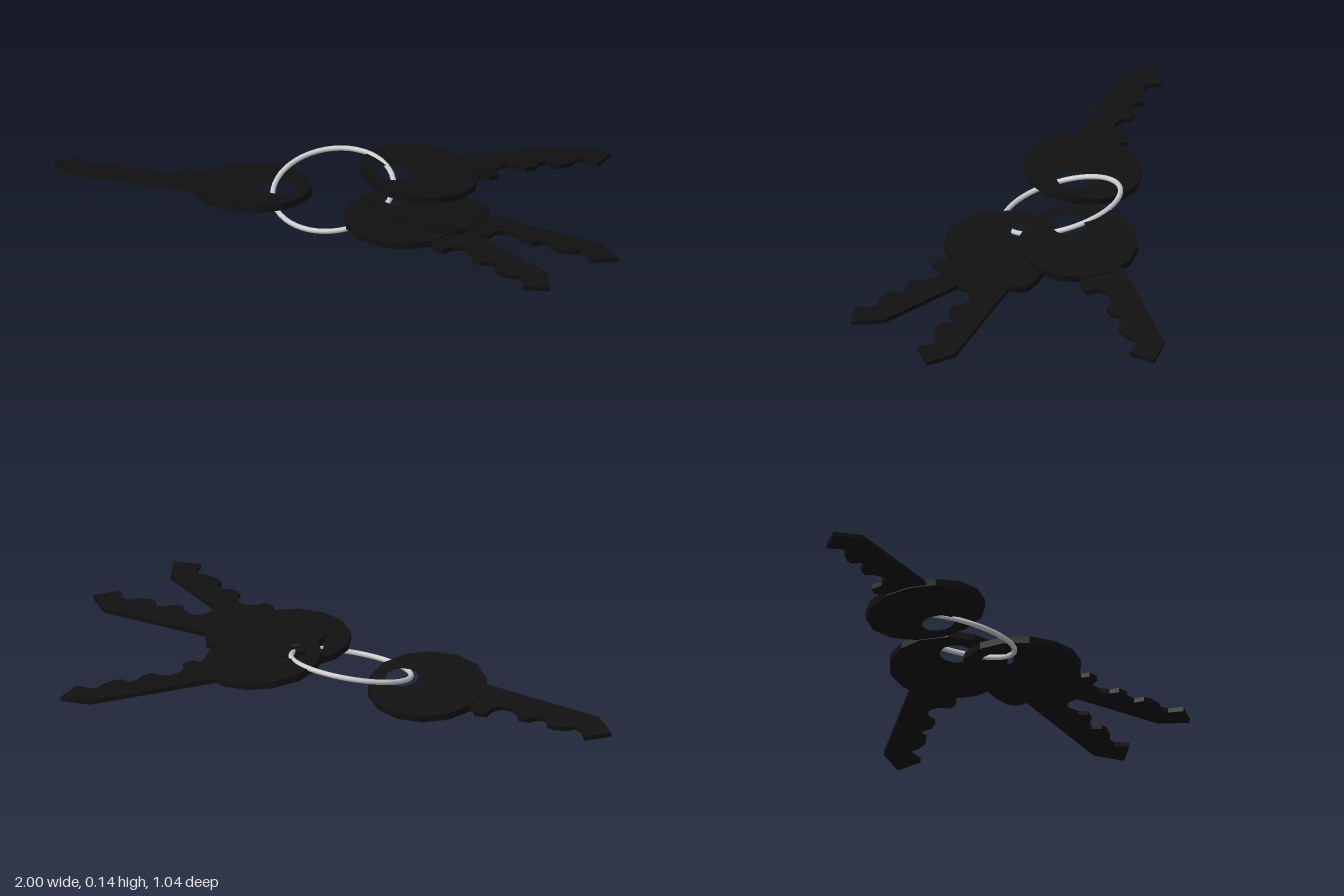
import * as THREE from 'three';

const black = new THREE.MeshStandardMaterial({ color: 0x111111, flatShading: true });
const steel = new THREE.MeshStandardMaterial({ color: 0xcccccc });

// Key frame: x runs along the blade, second value is the side the teeth are on
const bladeOutline = [
  [0.13, -0.095], [0.607, -0.095], [0.693, -0.03], [0.625, 0.034], [0.59, -0.005],
  [0.565, -0.01], [0.54, 0.012], [0.5, 0.025], [0.475, 0.022], [0.455, -0.008],
  [0.425, 0], [0.405, 0.024], [0.37, 0.03], [0.35, 0.005], [0.32, -0.008],
  [0.29, -0.005], [0.265, 0.022], [0.262, 0.062], [0.225, 0.072], [0.205, 0.05], [0.13, 0.07],
];
const roundHead = Array.from({ length: 14 }, (_, i) => {
  const a = ((i + 0.5) / 14) * Math.PI * 2;
  return [0.2 * Math.cos(a), 0.2 * Math.sin(a)];
});
const squareHead = [
  [-0.19, -0.06], [-0.15, -0.12], [-0.07, -0.155], [0.1, -0.16], [0.16, -0.15], [0.183, -0.12],
  [0.183, 0.05], [0.155, 0.09], [0.05, 0.115], [-0.07, 0.132], [-0.15, 0.105], [-0.19, 0.04],
];

// Flat plate lying in the xz plane, centred on its thickness
function plate(name, points, thickness, hole) {
  const shape = new THREE.Shape(points.map(([u, v]) => new THREE.Vector2(u, -v)));
  if (hole) {
    const path = new THREE.Path();
    path.absarc(hole[0], -hole[1], hole[2], 0, Math.PI * 2, true);
    shape.holes.push(path);
  }
  const geo = new THREE.ExtrudeGeometry(shape, { depth: thickness, bevelEnabled: false, curveSegments: 6 });
  geo.translate(0, 0, -thickness / 2);
  geo.rotateX(-Math.PI / 2);
  const mesh = new THREE.Mesh(geo, black);
  mesh.name = name;
  return mesh;
}

// slope: rise along the blade; roll: rise towards the teeth
function makeKey({ name, head, hole, position, yaw, slope, roll }) {
  const key = new THREE.Group();
  key.name = name;
  key.add(plate('keyHead', head, 0.024, hole), plate('keyBlade', bladeOutline, 0.016));
  key.rotation.set(-Math.atan(roll), THREE.MathUtils.degToRad(yaw), Math.atan(slope), 'YZX');
  key.position.set(...position);
  return key;
}

export function createModel() {
  const model = new THREE.Group();
  model.name = 'keyRingWithKeys';

  // Tilted wire ring
  const ring = new THREE.Mesh(new THREE.TorusGeometry(0.203, 0.009, 10, 48), steel);
  ring.name = 'ring';
  ring.rotation.x = -Math.PI / 2 + 0.3;
  ring.position.set(-0.04, 0.07, 0.15);
  model.add(ring);

  // Four keys fanned around the ring
  const hole = [-0.095, 0.005, 0.056];
  const keys = [
    { name: 'rightKey', head: roundHead, hole, position: [-0.31, 0.046, 0.203], yaw: 183.7, slope: -0.022, roll: -0.1 },
    { name: 'middleKey', head: squareHead, hole: [-0.11, -0.015, 0.05], position: [0.307, 0.075, 0.185], yaw: 0, slope: -0.07, roll: 0.07 },
    { name: 'frontKey', head: roundHead, hole, position: [0.25, 0.056, 0.225], yaw: -24, slope: -0.02, roll: 0 },
    { name: 'backKey', head: roundHead, hole, position: [0.195, 0.098, -0.025], yaw: 44.2, slope: -0.1, roll: -0.04 },
  ];
  keys.forEach((k) => model.add(makeKey(k)));
  return model;
}
